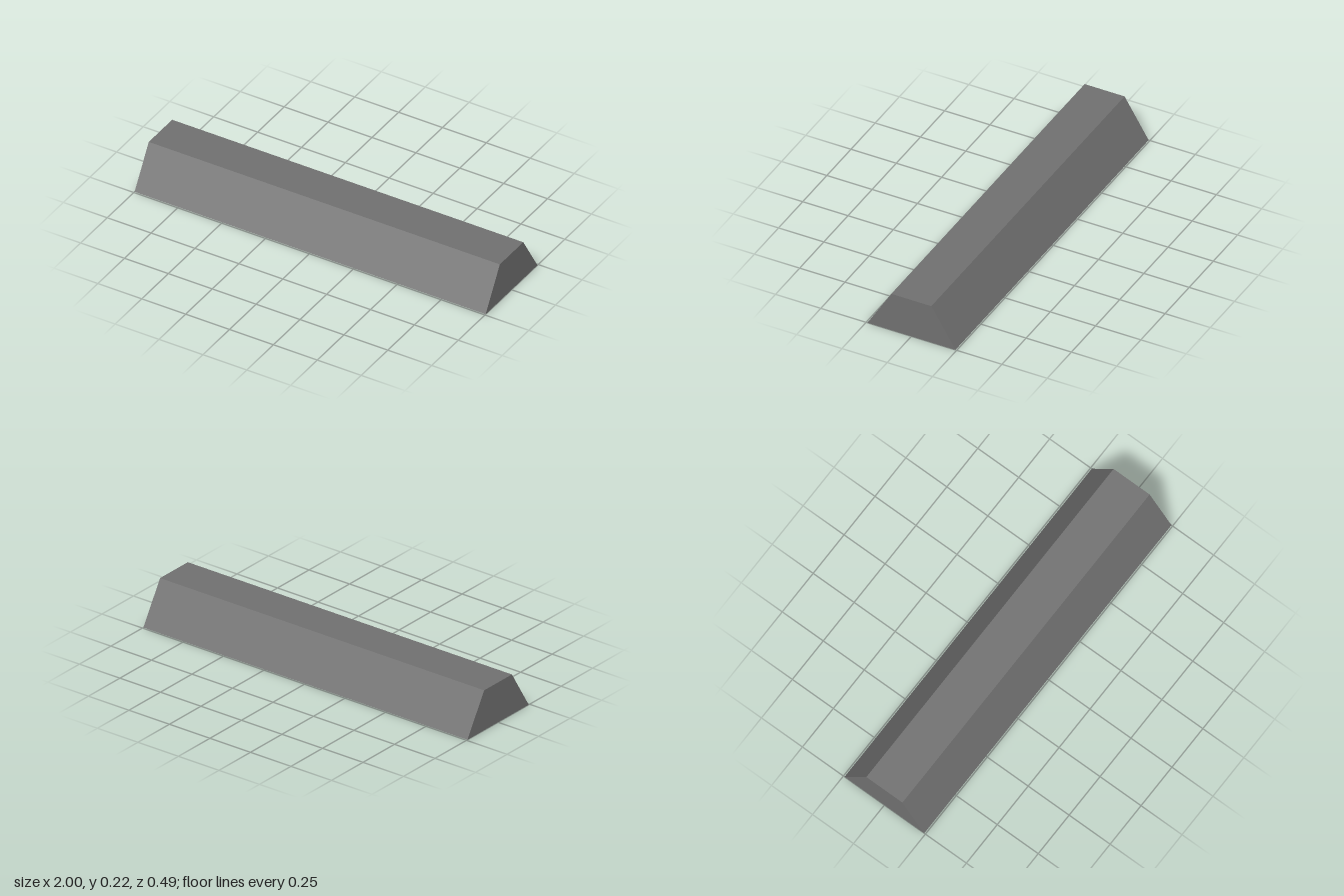
import * as THREE from 'three';

// Rectangular ring of corners at height y, anticlockwise seen from above
const ring = (x, y, z) => [[-x, y, z], [x, y, z], [x, y, -z], [-x, y, -z]];

// Flat-shaded geometry from a list of four-cornered faces
function fromQuads(quads) {
  const points = quads.flatMap(([a, b, c, d]) => [a, b, c, a, c, d]).flat();
  const geometry = new THREE.BufferGeometry();
  geometry.setAttribute('position', new THREE.Float32BufferAttribute(points, 3));
  geometry.computeVertexNormals();
  return geometry;
}

// Four faces joining two rings
const band = (a, b) => a.map((p, i) => {
  const j = (i + 1) % 4;
  return [p, a[j], b[j], b[i]];
});

export function createModel() {
  const model = new THREE.Group();
  model.name = 'stripLight';

  const housingGrey = new THREE.MeshStandardMaterial({ color: 0x707070 });
  housingGrey.name = 'housing grey';
  const paleWhite = new THREE.MeshStandardMaterial({ color: 0xd3ddd8 });
  paleWhite.name = 'pale greenish white';

  const add = (name, geometry, material) => {
    const mesh = new THREE.Mesh(geometry, material);
    mesh.name = name;
    model.add(mesh);
    return mesh;
  };

  const outerBottom = ring(1, 0, 0.243);
  const outerTop = ring(1, 0.217, 0.11);
  const innerBottom = ring(0.982, 0, 0.225);
  const innerTop = ring(0.982, 0.2, 0.102);

  // Outer shell with sloping sides, flat top and downward-facing rim
  add('housing', fromQuads([
    ...band(innerBottom, outerBottom),
    ...band(outerBottom, outerTop),
    outerTop,
  ]), housingGrey);

  // Pale lining of the open underside
  add('reflector', fromQuads([
    ...band(innerTop, innerBottom),
    [...innerTop].reverse(),
  ]), paleWhite);

  // Pair of lamp tubes running between the end walls
  for (const side of [1, -1]) {
    const geometry = new THREE.CylinderGeometry(0.047, 0.047, 1.964, 32);
    geometry.rotateZ(Math.PI / 2);
    const tube = add(side > 0 ? 'frontTube' : 'backTube', geometry, paleWhite);
    tube.position.set(0, 0.062, side * 0.11);
  }

  return model;
}
